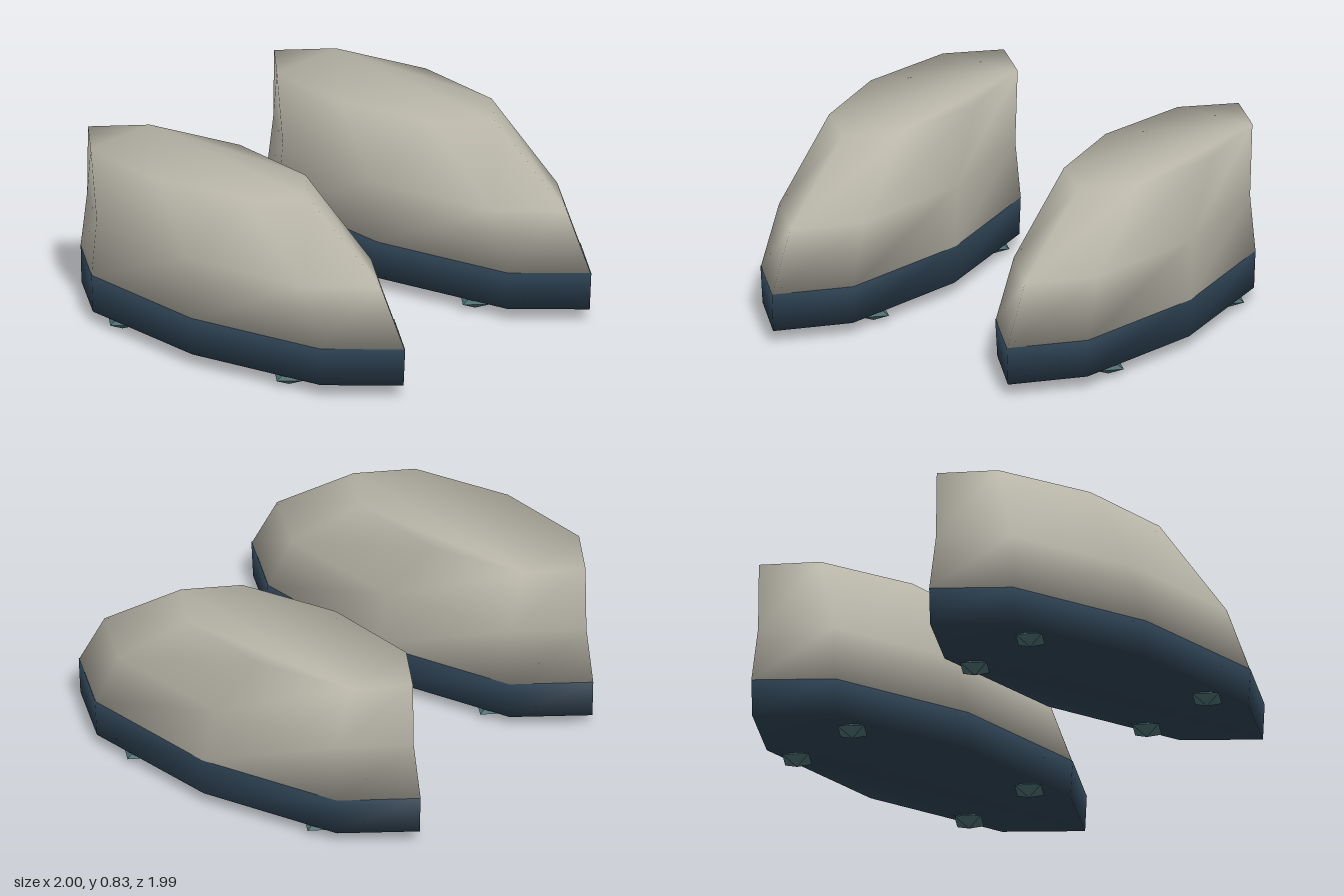
import * as THREE from 'three';

// Pointed eight-sided plan outline, as fractions [x, z], from the front tip round by +x
const OUTLINE = [[0, 1], [0.71, 0.707], [1, 0], [0.71, -0.707], [0, -1], [-0.71, -0.707], [-1, 0], [-0.71, 0.707]];

// Closed smooth loft through horizontal sections { y, half, front, back }
function loft(sections) {
  const n = OUTLINE.length, pos = [], idx = [];
  for (const s of sections) {
    const mid = (s.front + s.back) / 2, len = (s.front - s.back) / 2;
    for (const [x, z] of OUTLINE) pos.push(x * s.half, s.y, mid + z * len);
  }
  for (let r = 0; r < sections.length - 1; r++) {
    for (let i = 0; i < n; i++) {
      const a = r * n + i, b = r * n + (i + 1) % n;
      idx.push(a, b, b + n, a, b + n, a + n);
    }
  }
  // end caps share the wall vertices so the shading stays rounded
  const top = (sections.length - 1) * n, hub = 3;
  for (let k = 1; k < n - 1; k++) {
    const p = (hub + k) % n, q = (hub + k + 1) % n;
    idx.push(top + hub, top + p, top + q);
    idx.push(hub, q, p);
  }
  const g = new THREE.BufferGeometry();
  g.setAttribute('position', new THREE.Float32BufferAttribute(pos, 3));
  g.setIndex(idx);
  g.computeVertexNormals();
  return g;
}

export function createModel() {
  const model = new THREE.Group();
  model.name = 'twinHulls';

  const shellGrey = new THREE.MeshStandardMaterial({ color: 0xb8b5a8 });
  shellGrey.name = 'shellGrey';
  const baseNavy = new THREE.MeshStandardMaterial({ color: 0x2a3d4d });
  baseNavy.name = 'baseNavy';
  const footTeal = new THREE.MeshStandardMaterial({ color: 0x47686c });
  footTeal.name = 'footTeal';

  const bodyGeo = loft([
    { y: 0.24, half: 0.356, front: 0.99, back: -0.995 },
    { y: 0.51, half: 0.326, front: 0.845, back: -0.955 },
    { y: 0.835, half: 0.288, front: 0.4, back: -0.95 },
  ]);
  const baseGeo = loft([
    { y: 0.06, half: 0.348, front: 0.985, back: -0.99 },
    { y: 0.24, half: 0.357, front: 0.995, back: -0.995 },
  ]);
  const footGeo = new THREE.OctahedronGeometry(1, 0);
  footGeo.scale(0.085, 0.038, 0.088);

  for (const side of [-1, 1]) {
    const hull = new THREE.Group();
    hull.name = side > 0 ? 'leftHull' : 'rightHull';
    hull.position.x = side * 0.643;

    const body = new THREE.Mesh(bodyGeo, shellGrey);
    body.name = 'upperShell';
    const base = new THREE.Mesh(baseGeo, baseNavy);
    base.name = 'base';
    hull.add(body, base);

    // four small diamond feet, the front pair set slightly wider
    for (const [x, z, name] of [[0.217, 0.475, 'frontFoot'], [0.2, -0.56, 'backFoot']]) {
      for (const s of [-1, 1]) {
        const foot = new THREE.Mesh(footGeo, footTeal);
        foot.name = name;
        foot.position.set(s * x, 0.038, z);
        hull.add(foot);
      }
    }
    model.add(hull);
  }
  return model;
}
